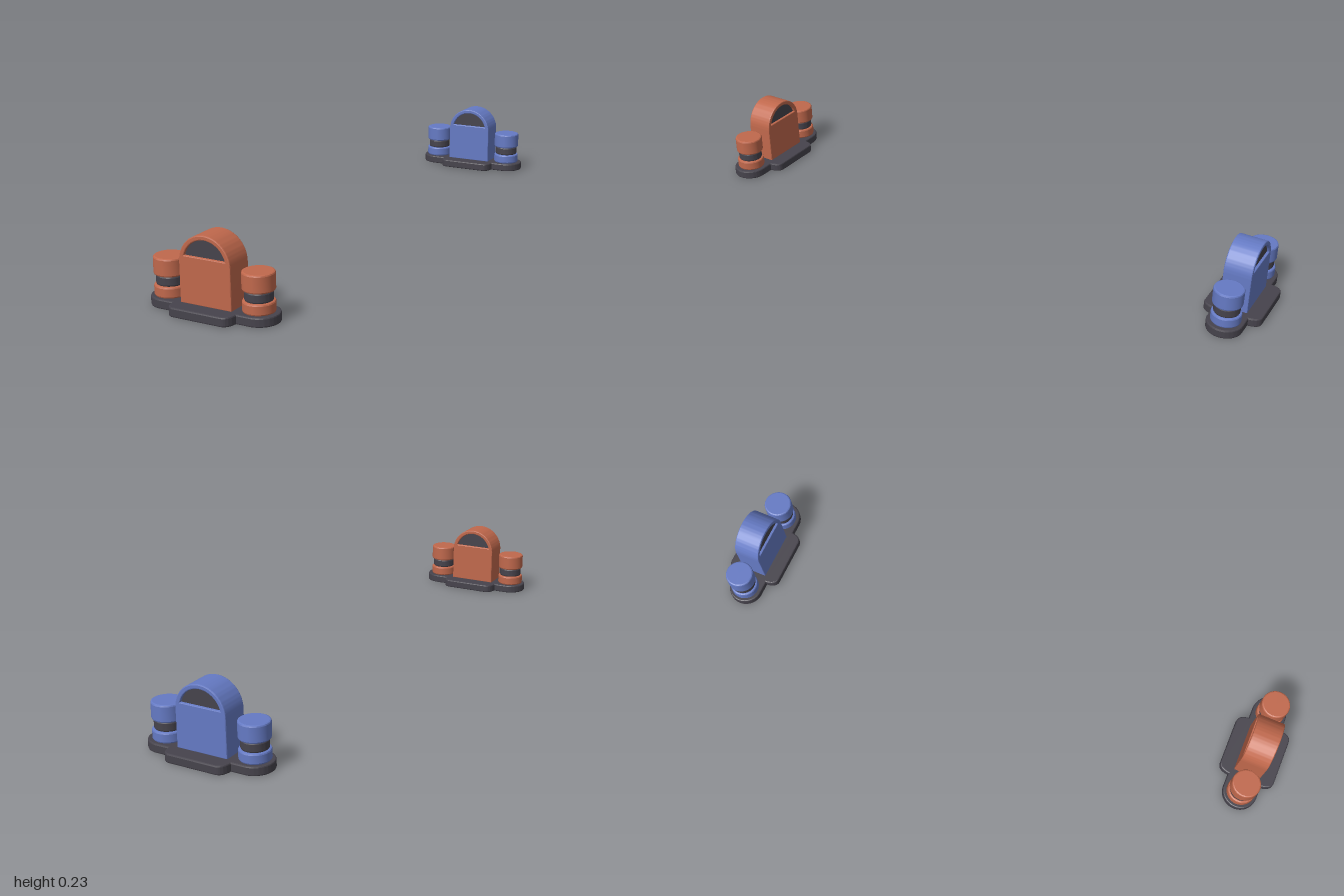
import * as THREE from 'three';
import { toCreasedNormals } from 'three/addons/utils/BufferGeometryUtils.js';

const DARK = 0x46434c, RED = 0xc0684c, BLUE = 0x657ac4;
const BASE_H = 0.028, ARCH_Y = 0.145;

function part(name, geometry, color) {
  const mesh = new THREE.Mesh(toCreasedNormals(geometry, 0.35), new THREE.MeshStandardMaterial({ color }));
  mesh.name = name;
  return mesh;
}

// Extrusion with a bevel that stays inside the outline
function extrude(shape, depth, bevel) {
  return new THREE.ExtrudeGeometry(shape, {
    depth: depth - 2 * bevel, curveSegments: 24, bevelEnabled: bevel > 0,
    bevelThickness: bevel, bevelSize: bevel, bevelOffset: -bevel, bevelSegments: 2,
  }).translate(0, 0, bevel);
}

// Rounded block with a round-ended wing on each side
function baseShape() {
  const w = 0.103, d = 0.092, r = 0.028, wing = 0.056, cx = 0.145;
  const s = new THREE.Shape();
  s.moveTo(-w + r, -d);
  s.lineTo(w - r, -d);
  s.quadraticCurveTo(w - 0.004, -d, w, -wing);
  s.lineTo(cx, -wing);
  s.absarc(cx, 0, wing, -Math.PI / 2, Math.PI / 2, false);
  s.lineTo(w, wing);
  s.quadraticCurveTo(w - 0.004, d, w - r, d);
  s.lineTo(-w + r, d);
  s.quadraticCurveTo(-w + 0.004, d, -w, wing);
  s.lineTo(-cx, wing);
  s.absarc(-cx, 0, wing, Math.PI / 2, Math.PI * 1.5, false);
  s.lineTo(-w, -wing);
  s.quadraticCurveTo(-w + 0.004, -d, -w + r, -d);
  return s;
}

// Half-round window above a level sill
function windowShape(r) {
  const a = Math.asin(0.018 / r);
  return new THREE.Shape().absarc(0, ARCH_Y, r, a, Math.PI - a, false).closePath();
}

function bodyShape() {
  const r = 0.082;
  const s = new THREE.Shape();
  s.moveTo(-r, BASE_H - 0.002);
  s.lineTo(r, BASE_H - 0.002);
  s.lineTo(r, ARCH_Y);
  s.absarc(0, ARCH_Y, r, 0, Math.PI, false);
  s.closePath();
  s.holes.push(windowShape(0.068));
  return s;
}

// Disc with softened rims
function drum(r, y0, y1, bevel) {
  const k = bevel * 0.3;
  const pts = [[0, y0], [r - bevel, y0], [r - k, y0 + k], [r, y0 + bevel],
    [r, y1 - bevel], [r - k, y1 - k], [r - bevel, y1], [0, y1]];
  return new THREE.LatheGeometry(pts.map(([x, y]) => new THREE.Vector2(x, y)), 40);
}

function createMarker(name, color) {
  const marker = new THREE.Group();
  marker.name = name;

  marker.add(part('base', extrude(baseShape(), BASE_H, 0.004).rotateX(-Math.PI / 2), DARK));

  // Arched body, with a recessed window panel showing on both faces
  const body = new THREE.Group();
  body.name = 'body';
  body.position.x = -0.001;
  body.add(part('archedBody', extrude(bodyShape(), 0.088, 0.003).translate(0, 0, -0.044), color));
  body.add(part('windowPanel', extrude(windowShape(0.0695), 0.072, 0).translate(0, 0, -0.036), DARK));
  marker.add(body);

  // Side posts: foot, narrow collar and cap
  for (const [side, x] of [['left', 0.141], ['right', -0.145]]) {
    const post = new THREE.Group();
    post.name = side + 'Post';
    post.position.x = x;
    post.add(part('foot', drum(0.046, BASE_H - 0.001, 0.06, 0.005), color));
    post.add(part('collar', drum(0.04, 0.059, 0.089, 0.005), DARK));
    post.add(part('cap', drum(0.046, 0.088, 0.141, 0.005), color));
    marker.add(post);
  }
  return marker;
}

export function createModel() {
  const model = new THREE.Group();
  model.name = 'markerPair';
  for (const [name, color, z] of [['frontMarker', RED, 0.908], ['backMarker', BLUE, -0.908]]) {
    const marker = createMarker(name, color);
    marker.position.z = z;
    model.add(marker);
  }
  return model;
}
